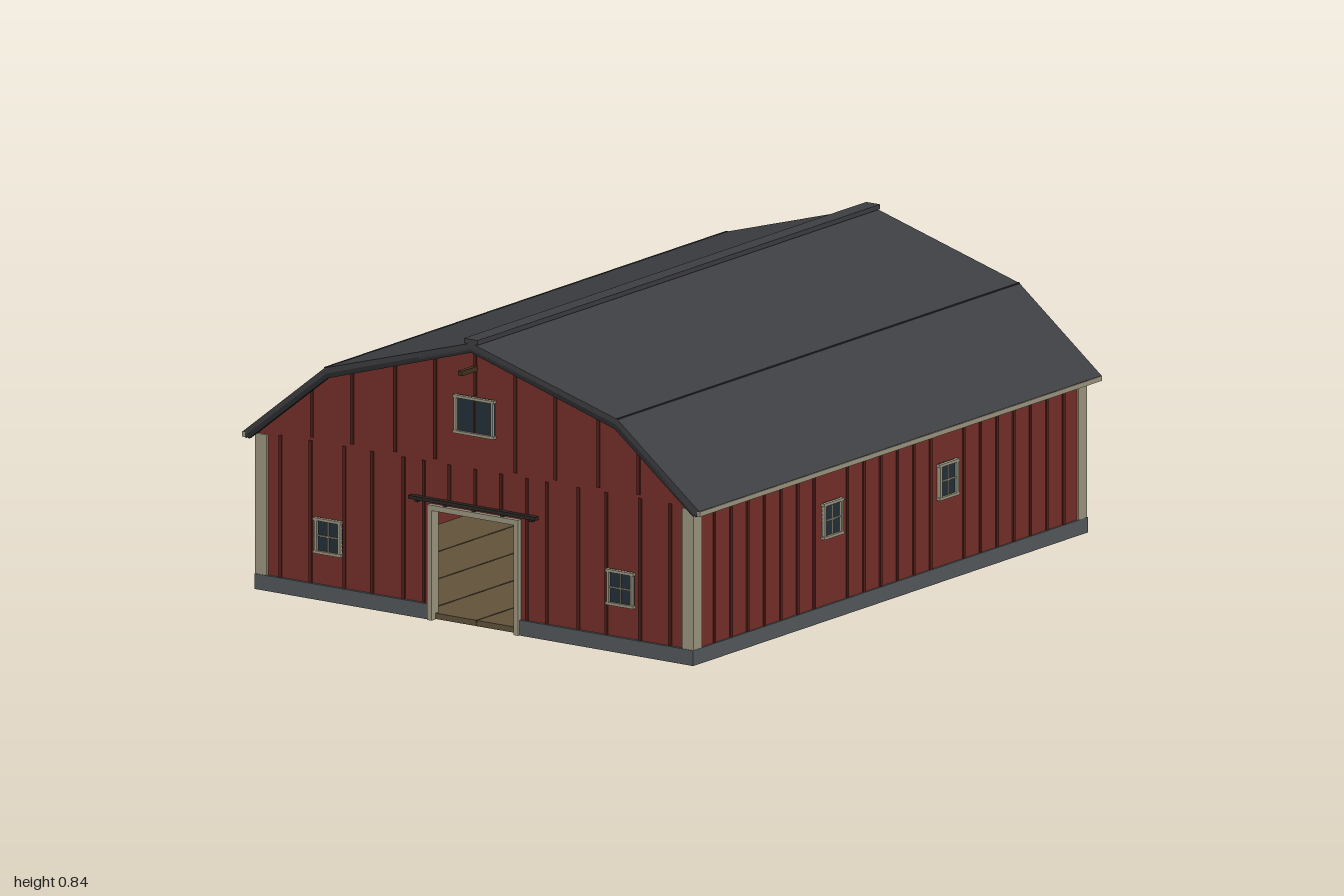
import * as THREE from 'three';

const mat = (color) => new THREE.MeshStandardMaterial({ color });
const RED = mat(0x78302a), BATTEN = mat(0x52201a), ROOF = mat(0x3e3f43), SEAM = mat(0x2a2b2e);
const TRIM = mat(0xa19a84), STONE = mat(0x565b5e), GLASS = mat(0x25303a), METAL = mat(0x2b2724);
const WOOD = mat(0x63533a), DARKWOOD = mat(0x43331f);

// Main dimensions
const HW = 0.76, ZF = 0.925, ZB = -0.968, T = 0.02, ZM = (ZF + ZB) / 2, LEN = ZF - ZB;
const EAVE = 0.46, BREAK_X = 0.505, BREAK_Y = 0.664, RIDGE = 0.813;
const ROOF_F = 0.948, ROOF_B = -1;

// Height of the underside of the roof at x
function roofY(x) {
  const a = Math.abs(x);
  return a < BREAK_X
    ? RIDGE + (BREAK_Y - RIDGE) * a / BREAK_X
    : BREAK_Y + (EAVE - BREAK_Y) * (a - BREAK_X) / (HW - BREAK_X);
}

function box(parent, name, material, w, h, d, x, y, z) {
  const m = new THREE.Mesh(new THREE.BoxGeometry(w, h, d), material);
  m.name = name;
  m.position.set(x, y, z);
  parent.add(m);
  return m;
}

function extrude(parent, name, material, points, depth, z) {
  const shape = new THREE.Shape(points.map(([x, y]) => new THREE.Vector2(x, y)));
  const m = new THREE.Mesh(new THREE.ExtrudeGeometry(shape, { depth, bevelEnabled: false }), material);
  m.name = name;
  m.position.z = z;
  parent.add(m);
  return m;
}

// Framed window facing +z, centred on its origin
function makeWindow(name, w, h, barsAcross) {
  const g = new THREE.Group();
  const f = 0.008;
  g.name = name;
  box(g, 'glass', GLASS, w, h, 0.006, 0, 0, 0.002);
  for (const s of [-1, 1]) {
    box(g, 'frameSide', TRIM, f, h, 0.016, s * (w - f) / 2, 0, 0.004);
    box(g, 'frameRail', TRIM, w + 0.008, f, 0.018, 0, s * (h - f) / 2, 0.004);
  }
  box(g, 'mullion', barsAcross ? TRIM : BATTEN, 0.004, h - f, 0.012, 0, 0, 0.003);
  if (barsAcross) box(g, 'crossbar', TRIM, w - f, 0.004, 0.012, 0, 0, 0.003);
  return g;
}

export function createModel() {
  const barn = new THREE.Group();
  barn.name = 'barn';

  // Gable walls, the front one with an open doorway
  const top = [[HW, EAVE], [BREAK_X, BREAK_Y], [0, RIDGE], [-BREAK_X, BREAK_Y], [-HW, EAVE]];
  extrude(barn, 'backWall', RED, [[-HW, 0], [HW, 0], ...top], T, ZB);
  const DW = 0.145, DH = 0.325;
  extrude(barn, 'frontWall', RED,
    [[-HW, 0], [-DW, 0], [-DW, DH], [DW, DH], [DW, 0], [HW, 0], ...top], T, ZF - T);

  // Floor planks running the length of the barn
  const planks = 8, pw = (2 * HW - 2 * T) / planks;
  for (let i = 0; i < planks; i++) {
    box(barn, 'floorPlank', WOOD, pw - 0.004, 0.016, LEN - 0.01, -HW + T + (i + 0.5) * pw, 0.01, ZM);
  }
  box(barn, 'subfloor', DARKWOOD, 2 * HW - 0.01, 0.01, LEN - 0.01, 0, 0.006, ZM);

  // Long side walls with battens, windows, corner boards and base
  for (const s of [-1, 1]) {
    box(barn, 'sideWall', RED, T, EAVE, LEN - 2 * T, s * (HW - T / 2), EAVE / 2, ZM);
    box(barn, 'sideBase', STONE, 0.02, 0.045, LEN + 0.018, s * (HW - 0.004), 0.0225, ZM);
    const windows = [0.26, -0.3];
    for (let i = 0; i < 22; i++) {
      const z = ZF - 0.1 - i * 0.0805;
      if (windows.some((w) => Math.abs(w - z) < 0.045)) continue;
      box(barn, 'sideBatten', BATTEN, 0.006, EAVE - 0.045, 0.01, s * (HW + 0.001), (EAVE + 0.045) / 2, z);
    }
    for (const z of windows) {
      const w = makeWindow('sideWindow', 0.088, 0.105, true);
      w.position.set(s * HW, 0.293, z);
      w.rotation.y = s * Math.PI / 2;
      barn.add(w);
    }
    for (const [z, d] of [[ZF, 1], [ZB, -1]]) {
      box(barn, 'cornerBoardEnd', TRIM, 0.04, EAVE - 0.05, 0.01, s * (HW - 0.015), (EAVE + 0.04) / 2, z + d * 0.002);
      box(barn, 'cornerBoardSide', TRIM, 0.01, EAVE - 0.05, 0.04, s * HW, (EAVE + 0.04) / 2, z - d * 0.015);
    }
    // Rafter tails below the eave
    for (let i = 0; i < 5; i++) {
      box(barn, 'rafterTail', METAL, 0.035, 0.014, 0.014, s * (HW + 0.01), 0.448, 0.77 - i * 0.3725);
    }
  }

  // Base of the gable walls, broken at the doorway
  box(barn, 'backBase', STONE, 2 * HW + 0.012, 0.045, 0.02, 0, 0.0225, ZB + 0.001);
  for (const s of [-1, 1]) {
    const w = HW + 0.006 - 0.16;
    box(barn, 'frontBase', STONE, w, 0.045, 0.02, s * (0.16 + w / 2), 0.0225, ZF - 0.001);
  }

  // Gable battens: a close lower row and a wider upper row
  const lower = [0.09, 0.18, 0.25, 0.36, 0.457, 0.575, 0.68], upper = [0, 0.14, 0.28, 0.43, 0.57];
  for (const [z, front] of [[ZF + 0.001, true], [ZB - 0.001, false]]) {
    for (const x of [0, ...lower, ...lower.map((v) => -v)]) {
      const y0 = front && Math.abs(x) < 0.16 ? 0.345 : 0.045;
      box(barn, 'lowerBatten', BATTEN, 0.01, EAVE - y0, 0.006, x, (EAVE + y0) / 2, z);
    }
    for (const x of [...upper, ...upper.slice(1).map((v) => -v)]) {
      const y0 = front && x === 0 ? 0.675 : 0.47, y1 = roofY(x) - 0.004;
      box(barn, 'upperBatten', BATTEN, 0.01, y1 - y0, 0.006, x, (y0 + y1) / 2, z);
    }
  }

  // Front windows
  for (const [name, x, y, w, h, bars] of [
    ['frontWindow', -0.51, 0.188, 0.09, 0.104, true],
    ['frontWindow', 0.51, 0.188, 0.09, 0.104, true],
    ['loftWindow', 0, 0.615, 0.136, 0.112, false],
  ]) {
    const win = makeWindow(name, w, h, bars);
    win.position.set(x, y, ZF);
    barn.add(win);
  }

  // Door frame and sliding track
  for (const s of [-1, 1]) box(barn, 'doorPost', TRIM, 0.016, 0.335, 0.034, s * 0.151, 0.1675, ZF - 0.002);
  box(barn, 'doorHeader', TRIM, 0.318, 0.016, 0.034, 0, 0.329, ZF - 0.002);
  box(barn, 'doorTrack', METAL, 0.444, 0.01, 0.016, 0, 0.351, ZF + 0.012);
  for (let i = -2; i <= 2; i++) box(barn, 'trackBracket', METAL, 0.01, 0.018, 0.012, i * 0.1, 0.347, ZF + 0.006);

  // Gambrel roof: two slopes per side, drawn as cross-section slabs
  const depth = ROOF_F - ROOF_B;
  for (const s of [-1, 1]) {
    const order = (pts) => (s > 0 ? pts : pts.map(([x, y]) => [-x, y]).reverse());
    extrude(barn, 'upperRoof', ROOF,
      order([[0, RIDGE], [BREAK_X, BREAK_Y], [BREAK_X + 0.005, 0.686], [0, 0.833]]), depth, ROOF_B);
    extrude(barn, 'lowerRoof', ROOF,
      order([[BREAK_X, BREAK_Y], [0.785, 0.44], [0.797, 0.458], [BREAK_X + 0.005, 0.686]]), depth, ROOF_B);
    box(barn, 'roofSeam', SEAM, 0.006, 0.006, depth, s * (BREAK_X + 0.004), 0.685, (ROOF_F + ROOF_B) / 2);
    box(barn, 'eaveTrim', TRIM, 0.01, 0.014, depth, s * 0.794, 0.45, (ROOF_F + ROOF_B) / 2);
    // Dark boards along the gable ends
    for (const z of [ROOF_F - 0.012, ROOF_B]) {
      extrude(barn, 'rakeBoard', SEAM, order([[0, RIDGE - 0.008], [BREAK_X - 0.003, BREAK_Y - 0.008],
        [0.775, 0.44], [0.785, 0.45], [BREAK_X, BREAK_Y + 0.006], [0, RIDGE + 0.006]]), 0.012, z);
    }
  }
  box(barn, 'ridgeCap', SEAM, 0.048, 0.014, depth, 0, 0.837, (ROOF_F + ROOF_B) / 2).material = ROOF;

  // Hoist beam above the loft window
  box(barn, 'hoistBeam', DARKWOOD, 0.014, 0.014, 0.09, 0, 0.755, 0.955);

  return barn;
}
